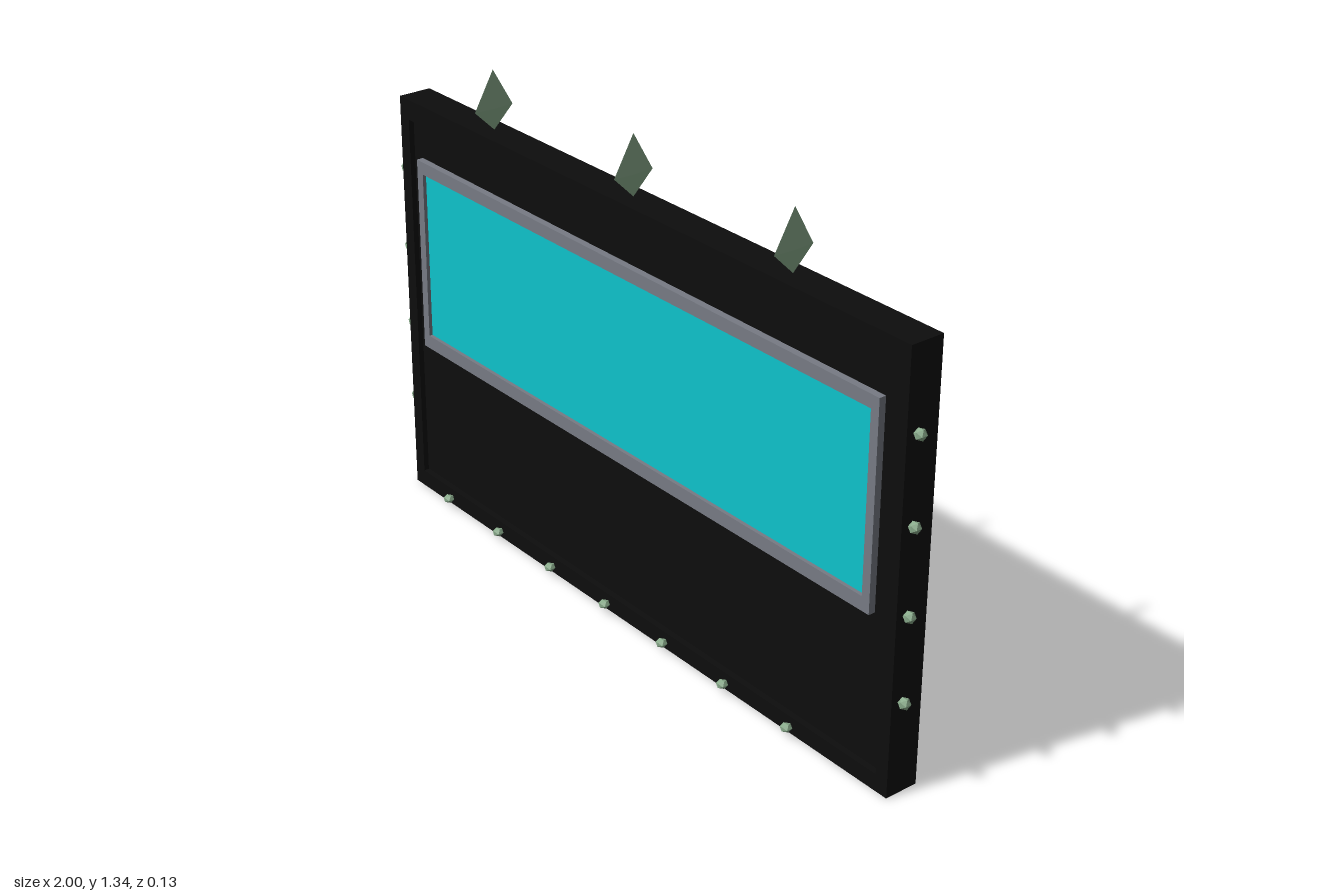
import * as THREE from 'three';

const mat = (name, color) => {
  const m = new THREE.MeshStandardMaterial({ color });
  m.name = name;
  return m;
};

export function createModel() {
  const black = mat('black', 0x0d0d0d);
  const grey = mat('grey', 0x777b84);
  const cyan = mat('cyan', 0x0fc3cc);
  const green = mat('pale green', 0x8aac8c);
  green.flatShading = true;

  const root = new THREE.Group();
  root.name = 'wallDisplay';

  const add = (name, geometry, material, x = 0, y = 0, z = 0) => {
    const mesh = new THREE.Mesh(geometry, material);
    mesh.name = name;
    mesh.position.set(x, y, z);
    root.add(mesh);
    return mesh;
  };
  // Box given by its limits on each axis
  const box = (name, material, x0, x1, y0, y1, z0, z1) =>
    add(name, new THREE.BoxGeometry(x1 - x0, y1 - y0, z1 - z0), material,
      (x0 + x1) / 2, (y0 + y1) / 2, (z0 + z1) / 2);

  const rect = (path, x, y0, y1) => {
    path.moveTo(-x, y0);
    path.lineTo(x, y0);
    path.lineTo(x, y1);
    path.lineTo(-x, y1);
    path.closePath();
    return path;
  };
  // Rectangular ring with a rectangular opening
  const ring = (name, material, outer, inner, z0, z1) => {
    const shape = rect(new THREE.Shape(), ...outer);
    shape.holes.push(rect(new THREE.Path(), ...inner));
    add(name, new THREE.ExtrudeGeometry(shape, { depth: z1 - z0, bevelEnabled: false }),
      material, 0, 0, z0);
  };

  // Deep outer frame and the thinner panel floating inside it
  ring('outerFrame', black, [0.966, 0, 1.16], [0.928, 0.047, 1.104], -0.064, 0.03);
  box('backPanel', black, -0.923, 0.923, 0.052, 1.099, -0.045, 0.018);

  // Screen and its surround
  box('screen', cyan, -0.862, 0.862, 0.497, 0.972, 0.018, 0.027);
  ring('screenSurround', grey, [0.886, 0.46, 1.006], [0.861, 0.498, 0.971], 0.018, 0.037);

  // Small faceted studs along both sides and the lower edge
  const stud = new THREE.IcosahedronGeometry(0.016, 0);
  for (const side of [-1, 1]) {
    for (let i = 0; i < 4; i++) {
      add('sideStud', stud, green, side * 0.984, 0.262 + i * 0.229, 0.007);
    }
  }
  for (let i = 0; i < 7; i++) {
    add('lowerStud', stud, green, -0.782 + i * 0.2365, 0.026, 0.047).scale.y = 0.75;
  }

  // Thin kite-shaped blades hovering over the top edge
  const blade = new THREE.OctahedronGeometry(1, 0);
  const p = blade.attributes.position;
  for (let i = 0; i < p.count; i++) {
    const y = p.getY(i);
    p.setXYZ(i, p.getX(i) * 0.004, y * (y > 0 ? 0.103 : 0.057), p.getZ(i) * 0.058);
  }
  blade.computeVertexNormals();
  for (const x of [-0.567, 0, 0.567]) add('blade', blade, green, x, 1.235, 0.007);

  return root;
}
